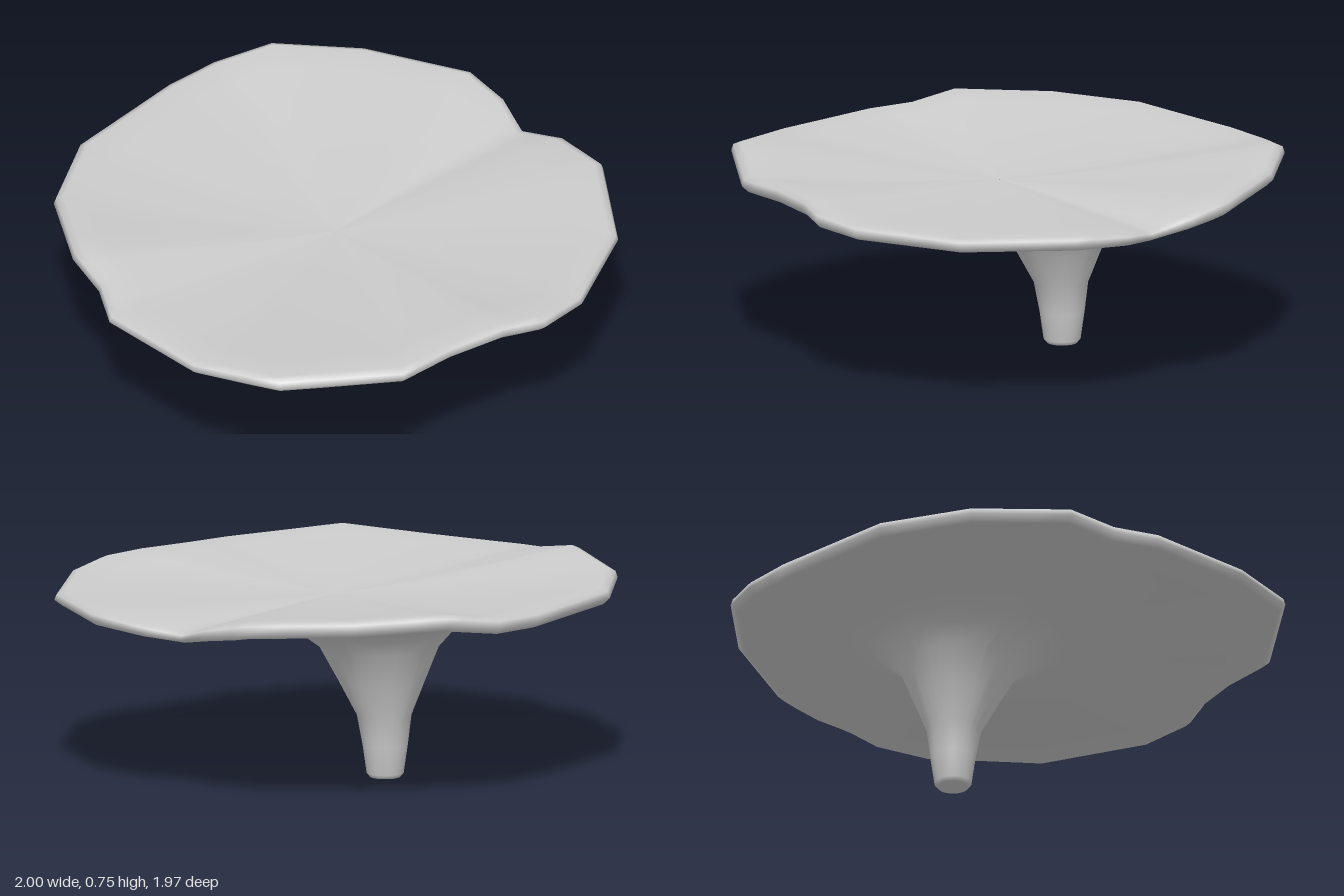
import * as THREE from 'three';

// Cap rim, clockwise from the back: x, z, height of the top edge
const RIM = [
  [0.03, -0.99, 0.71], [0.24, -0.99, 0.715], [0.45, -0.92, 0.745], [0.71, -0.70, 0.73],
  [0.94, -0.36, 0.715], [0.96, -0.19, 0.68], [0.93, -0.04, 0.635], [1.0, 0.11, 0.66],
  [1.0, 0.34, 0.68], [0.78, 0.71, 0.675], [0.43, 0.94, 0.685], [0.23, 0.98, 0.70],
  [0.08, 0.94, 0.71], [-0.15, 0.91, 0.705], [-0.37, 0.91, 0.695], [-0.78, 0.69, 0.715],
  [-0.94, 0.39, 0.69], [-1.0, -0.03, 0.695], [-0.93, -0.18, 0.715], [-0.91, -0.36, 0.745],
  [-0.74, -0.69, 0.725], [-0.46, -0.90, 0.715],
];

// Stem rings: radius, height, centre z
const STEM = [
  [0.001, 0, -0.23], [0.056, 0, -0.23], [0.068, 0.015, -0.23], [0.083, 0.12, -0.23],
  [0.10, 0.23, -0.225], [0.16, 0.36, -0.213], [0.22, 0.485, -0.20],
  [0.29, 0.545, -0.18], [0.36, 0.588, -0.16],
];
const STEM_X = 0.02, SUB = 3;
const lerp = THREE.MathUtils.lerp;

// Subdivide the straight rim edges
function rimPoints() {
  const out = [];
  RIM.forEach((p, i) => {
    const q = RIM[(i + 1) % RIM.length];
    for (let k = 0; k < SUB; k++) out.push(p.map((v, j) => lerp(v, q[j], k / SUB)));
  });
  return out;
}

// Rim point pulled towards the middle by a fixed distance
function inset([x, z], d) {
  const k = 1 - d / Math.hypot(x, z);
  return [x * k, z * k];
}

export function createModel() {
  const rim = rimPoints(), rows = [];
  const thickness = (top) => THREE.MathUtils.clamp(0.035 + (top - 0.635) * 0.35, 0.035, 0.06);

  // A ring of the flaring stem
  const stemPoint = ([x, z], [r, y, cz]) => {
    const a = Math.atan2(z + 0.2, x - STEM_X);
    return [STEM_X + r * Math.cos(a), y, cz + r * Math.sin(a)];
  };
  for (const ring of STEM) rows.push(rim.map((p) => stemPoint(p, ring)));

  // Underside of the cap, from the stem out to the rim
  const last = STEM[STEM.length - 1];
  for (const s of [0.2, 0.4, 0.6, 0.8, 1]) {
    rows.push(rim.map((p) => {
      const [sx, sy, sz] = stemPoint(p, last);
      const [ex, ez] = inset(p, 0.025);
      return [lerp(sx, ex, s), lerp(sy, p[2] - thickness(p[2]), s ** 0.75), lerp(sz, ez, s)];
    }));
  }

  // Rounded lip
  rows.push(rim.map((p) => [p[0], p[2] - thickness(p[2]) * 0.6, p[1]]));
  rows.push(rim.map((p) => {
    const [x, z] = inset(p, 0.008);
    return [x, p[2] - thickness(p[2]) * 0.2, z];
  }));

  // Gently dished top, from the rim in to the middle
  for (const s of [1, 0.88, 0.72, 0.54, 0.36, 0.18, 0.001]) {
    rows.push(rim.map((p) => {
      const [x, z] = inset(p, 0.035);
      return [x * s, lerp(0.645, p[2], s ** 1.5), lerp(0.03, z, s)];
    }));
  }

  // Join the rings into one smooth skin
  const n = rim.length, index = [];
  for (let r = 0; r < rows.length - 1; r++) {
    for (let i = 0; i < n; i++) {
      const j = (i + 1) % n;
      const a = r * n + i, b = r * n + j, c = a + n, d = b + n;
      index.push(a, c, b, b, c, d);
    }
  }
  const geometry = new THREE.BufferGeometry();
  geometry.setAttribute('position', new THREE.Float32BufferAttribute(rows.flat(2), 3));
  geometry.setIndex(index);
  geometry.computeVertexNormals();

  const mushroom = new THREE.Mesh(geometry, new THREE.MeshStandardMaterial({ color: 0xcccccc }));
  mushroom.name = 'mushroomCapAndStem';
  const group = new THREE.Group();
  group.name = 'mushroom';
  group.add(mushroom);
  return group;
}
